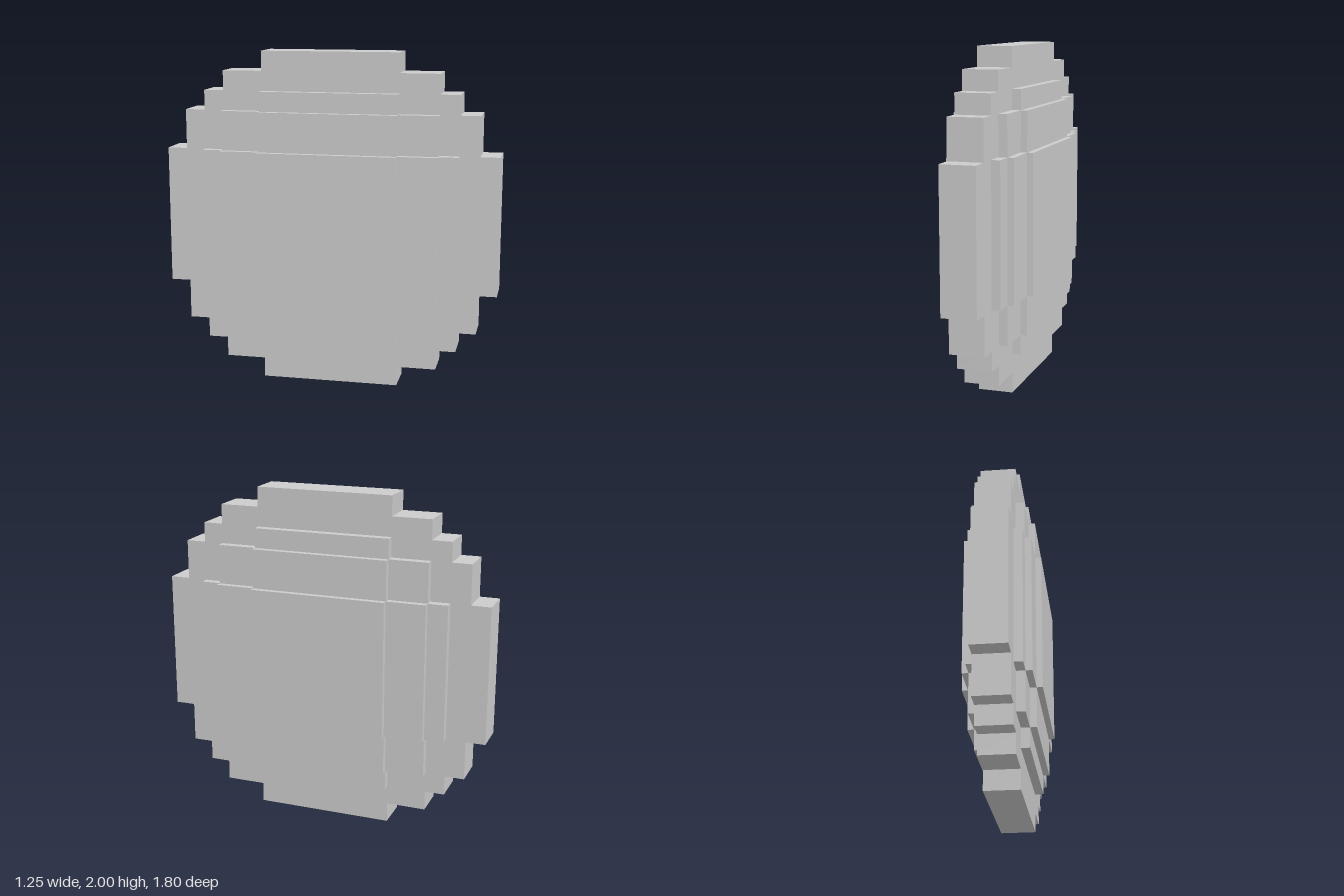
import * as THREE from 'three';

const P = 2 / 17; // one step of the pixelated outline

// Stepped outline, symmetric about both axes. Each step is
// [half width, half height] in units of P, from widest to tallest.
function steppedShape(steps) {
  const quarter = [];
  steps.forEach(([w, h], i) => {
    quarter.push([w, i ? steps[i - 1][1] : 0], [w, h]);
  });
  if (quarter[0][1] === 0) quarter.shift();
  const back = [...quarter].reverse();
  const outline = [
    ...quarter,
    ...back.map(([x, y]) => [-x, y]),
    ...quarter.map(([x, y]) => [-x, -y]),
    ...back.map(([x, y]) => [x, -y]),
  ];
  return new THREE.Shape(outline.map(([x, y]) => new THREE.Vector2(x * P, y * P)));
}

export function createModel() {
  const group = new THREE.Group();
  group.name = 'steppedDisc';
  const material = new THREE.MeshStandardMaterial({ color: 0xcccccc, flatShading: true });

  // Layers bulge out on both faces: name, half thickness, outline steps
  const layers = [
    ['rimDisc', 0.103, [[8.5, 3.5], [7.5, 5.5], [6.5, 6.5], [5.5, 7.5], [3.5, 8.5]]],
    ['outerLayer', 0.154, [[6.5, 3.5], [5.5, 5.5], [3.5, 6.5]]],
    ['middleLayer', 0.192, [[5.5, 3.5], [3.5, 5.5]]],
    ['centrePlate', 0.227, [[3.5, 3.5]]],
  ];

  for (const [name, half, steps] of layers) {
    const geometry = new THREE.ExtrudeGeometry(steppedShape(steps), {
      depth: half * 2,
      bevelEnabled: false,
    });
    geometry.translate(0, 0, -half);
    const mesh = new THREE.Mesh(geometry, material);
    mesh.name = name;
    group.add(mesh);
  }

  // The disc stands on edge, turned about the vertical axis
  group.rotation.y = -1.004;
  group.position.y = 1;
  return group;
}
